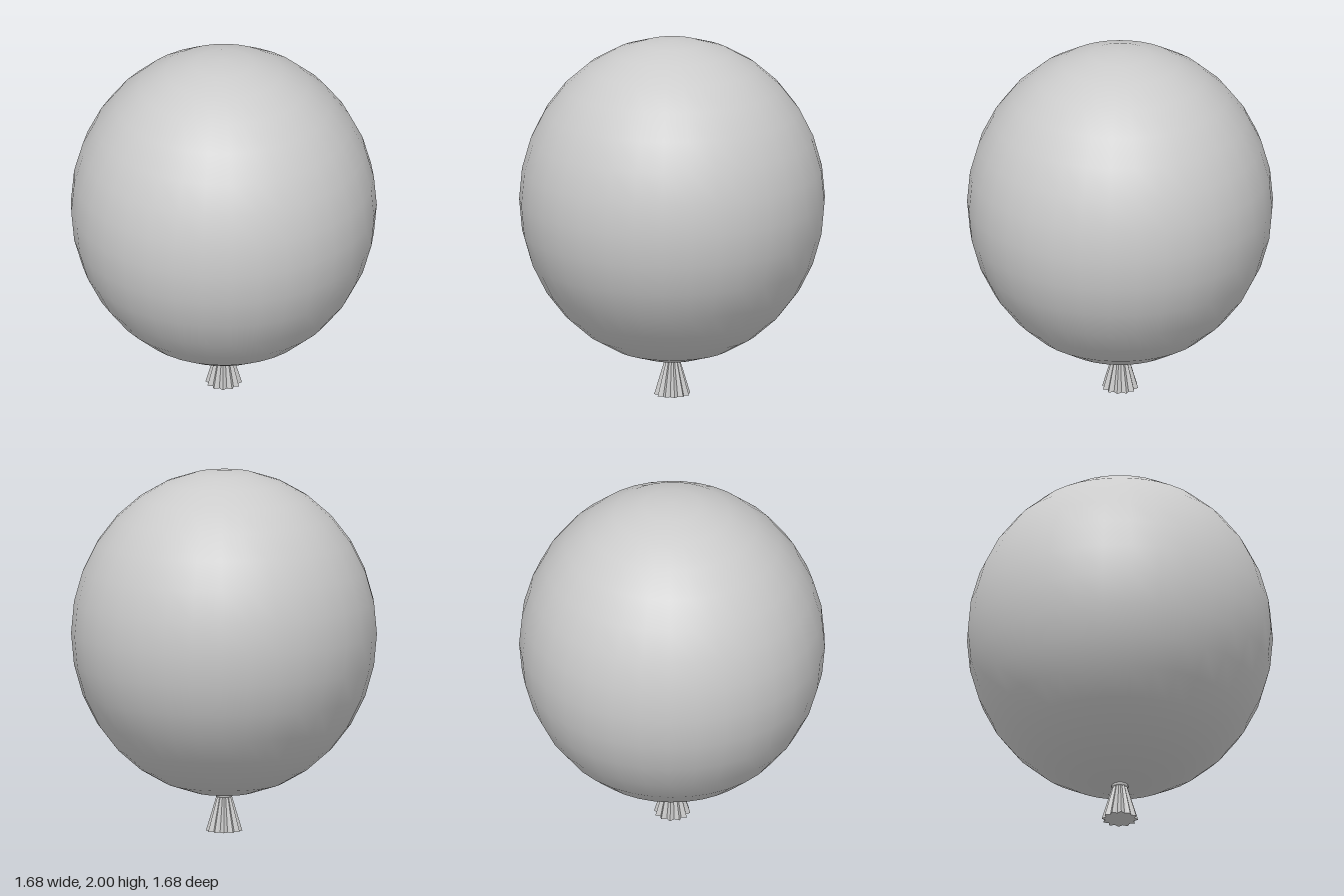
import * as THREE from 'three';

const FLUTES = 12;

export function createModel() {
  const model = new THREE.Group();
  const material = new THREE.MeshStandardMaterial({ color: 0xcccccc });
  const add = (name, geometry, mat = material) => {
    const mesh = new THREE.Mesh(geometry, mat);
    mesh.name = name;
    model.add(mesh);
    return mesh;
  };

  // Balloon body: slightly tall ellipsoid
  const body = new THREE.SphereGeometry(1, 33, 16);
  body.rotateY(-Math.PI / 2);
  body.scale(0.84, 0.9, 0.84);
  body.translate(0, 1.1, 0);
  add('balloonBody', body);

  // Pleated mouth: a closed cone whose wall is pushed in between the flutes
  const mouth = new THREE.CylinderGeometry(0.04, 0.1, 0.2, FLUTES * 4, 1);
  const p = mouth.attributes.position;
  for (let i = 0; i < p.count; i++) {
    const x = p.getX(i), z = p.getZ(i);
    const k = 0.9 + 0.1 * Math.cos(FLUTES * Math.atan2(z, x));
    p.setXYZ(i, x * k, p.getY(i) + 0.1, z * k);
  }
  const pleated = material.clone();
  pleated.flatShading = true;
  add('pleatedMouth', mouth, pleated);

  // Small rolled collar where the mouth meets the body
  const collar = new THREE.TorusGeometry(0.038, 0.009, 8, 32);
  collar.rotateX(Math.PI / 2);
  collar.translate(0, 0.197, 0);
  add('collar', collar);

  return model;
}
